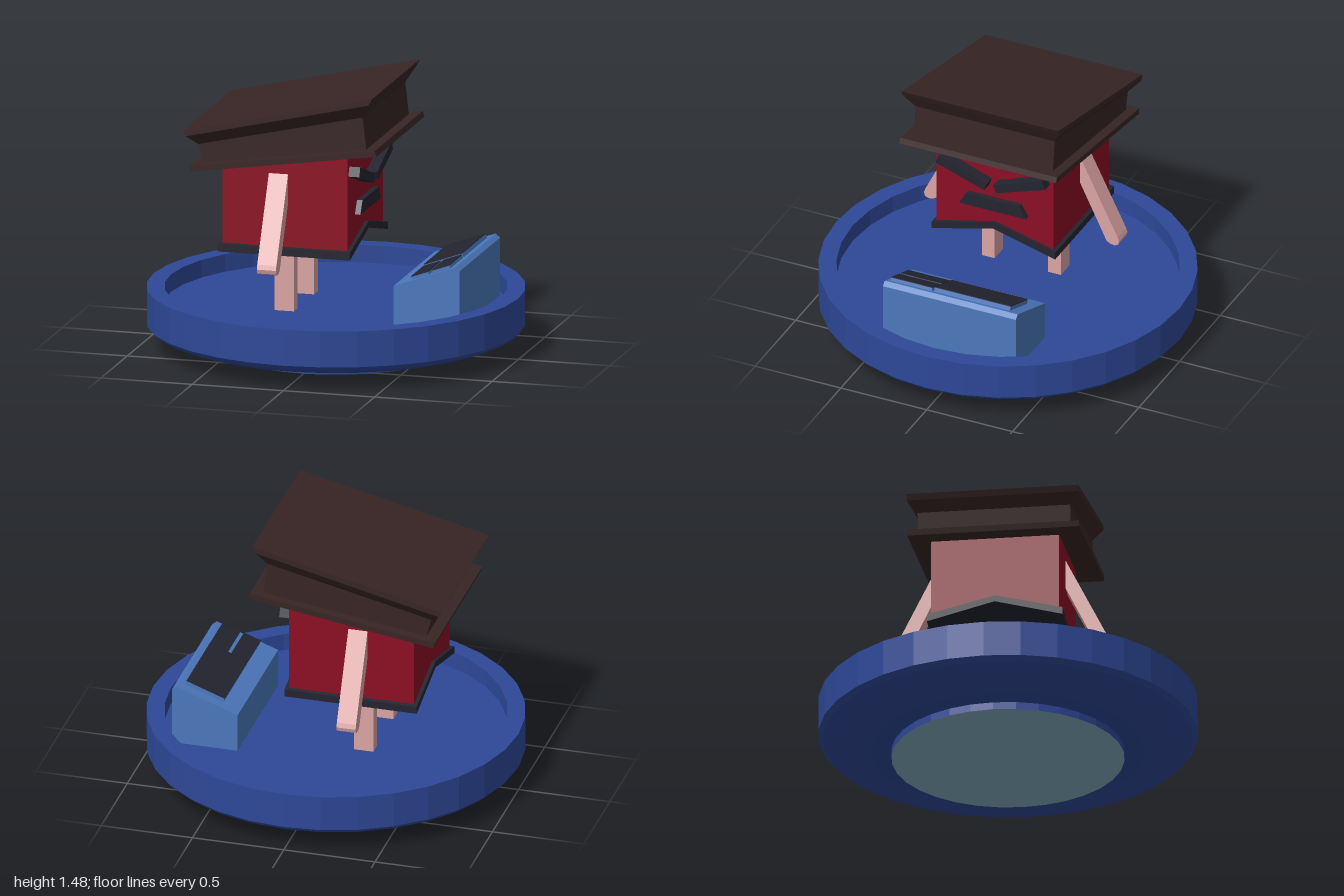
import * as THREE from 'three';

const mat = (name, color) => {
  const m = new THREE.MeshStandardMaterial({ color });
  m.name = name;
  return m;
};

export function createModel() {
  const blue = mat('deep blue', 0x2e4898);
  const lightBlue = mat('light blue', 0x4c78bc);
  const red = mat('dark red', 0x8c0e24);
  const brown = mat('dark brown', 0x382525);
  const black = mat('blue black', 0x23242f);
  const skin = mat('pink skin', 0xdca5a5);
  const grey = mat('pale grey blue', 0x84aec4);

  const model = new THREE.Group();
  const add = (name, geometry, material, parent = model) => {
    const mesh = new THREE.Mesh(geometry, material);
    mesh.name = name;
    parent.add(mesh);
    return mesh;
  };
  const box = (x0, x1, y0, y1, z0, z1) =>
    new THREE.BoxGeometry(x1 - x0, y1 - y0, z1 - z0)
      .translate((x0 + x1) / 2, (y0 + y1) / 2, (z0 + z1) / 2);
  const toShape = (pts) => new THREE.Shape(pts.map(([a, b]) => new THREE.Vector2(a, b)));
  // Outline in (z, y), swept along x
  const extrudeX = (pts, x0, x1) =>
    new THREE.ExtrudeGeometry(toShape(pts.map(([z, y]) => [-z, y])), { depth: x1 - x0, bevelEnabled: false })
      .rotateY(Math.PI / 2).translate(x0, 0, 0);

  // Round base with a sunken floor
  const floorY = 0.235;
  const profile = [
    [0.615, 0], [0.615, 0.04], [0.72, 0.046], [0.9, 0.08], [0.975, 0.11],
    [1, 0.135], [1, 0.33], [0.905, 0.33], [0.905, floorY], [0, floorY],
  ].map(([r, y]) => new THREE.Vector2(r, y));
  const base = new THREE.LatheGeometry(profile, 32).toNonIndexed();
  base.computeVertexNormals();
  add('roundBase', base, blue);
  add('baseUnderside', new THREE.CircleGeometry(0.615, 32).rotateX(Math.PI / 2), grey);

  // House body: notched underside, top sloping up towards +x
  const body = extrudeX(
    [[-0.34, 0.59], [0, 0.68], [0.34, 0.59], [0.34, 1.1], [-0.34, 1.1]], -0.525, 0.16);
  const p = body.attributes.position;
  for (let i = 0; i < p.count; i++) {
    if (p.getY(i) > 1) p.setY(i, 1.05 + (p.getX(i) + 0.525) * 0.148);
  }
  body.computeVertexNormals();
  add('houseBody', body, red);
  add('bottomTrim', extrudeX(
    [[-0.36, 0.565], [0, 0.66], [0.36, 0.565], [0.36, 0.605], [0, 0.695], [-0.36, 0.605]],
    -0.545, 0.18), black);

  // Roof: tilted rectangular rings [left x, left y, right x, right y, half depth]
  const rings = [
    [-0.66, 1.015, 0.355, 1.165, 0.457],
    [-0.67, 1.045, 0.345, 1.195, 0.457],
    [-0.61, 1.055, 0.285, 1.187, 0.405],
    [-0.635, 1.155, 0.265, 1.36, 0.405],
    [-0.69, 1.205, 0.312, 1.44, 0.457],
    [-0.705, 1.235, 0.33, 1.475, 0.457],
  ].map(([xl, yl, xr, yr, h]) => [
    [xl, yl, 0.008 + h], [xr, yr, 0.008 + h], [xr, yr, 0.008 - h], [xl, yl, 0.008 - h],
  ]);
  const verts = [];
  const quad = (a, b, c, d) => verts.push(...a, ...b, ...c, ...a, ...c, ...d);
  for (let r = 0; r < rings.length - 1; r++) {
    for (let i = 0; i < 4; i++) {
      const j = (i + 1) % 4;
      quad(rings[r][i], rings[r][j], rings[r + 1][j], rings[r + 1][i]);
    }
  }
  quad(...rings[rings.length - 1]);
  quad(...[...rings[0]].reverse());
  const roof = new THREE.BufferGeometry();
  roof.setAttribute('position', new THREE.Float32BufferAttribute(verts, 3));
  roof.computeVertexNormals();
  add('roof', roof, brown);

  // Arms, legs and eyebrows, mirrored across z
  const arm = [
    [0.3, 0.93], [0.34, 1.005], [0.56, 0.56], [0.569, 0.535], [0.562, 0.513],
    [0.543, 0.505], [0.52, 0.507], [0.497, 0.52], [0.34, 0.845],
  ];
  const brow = [[0.32, 1.01], [0.3, 1.06], [0.018, 0.957], [0.035, 0.913]];
  for (const s of [1, -1]) {
    const side = s > 0 ? 'Front' : 'Back';
    const flip = (pts) => pts.map(([z, y]) => [z * s, y]);
    add('arm' + side, extrudeX(flip(arm), -0.27, -0.165), skin);
    add('leg' + side, box(-0.27, -0.165, floorY, 0.66, s * 0.193 - 0.037, s * 0.193 + 0.037), skin);
    add('eyebrow' + side, extrudeX(flip(brow), 0.15, 0.22), black);
  }
  add('mouth', extrudeX([[-0.195, 0.775], [0.195, 0.775], [0.155, 0.845], [-0.155, 0.845]], 0.15, 0.19), black);

  // Control desk with a sloping top
  add('desk', new THREE.ExtrudeGeometry(
    toShape([[0.42, floorY], [0.78, floorY], [0.78, 0.547], [0.755, 0.567], [0.42, 0.445]]),
    { depth: 0.775, bevelEnabled: false }).translate(0, 0, -0.415), lightBlue);

  // Raised screens on the slope: blue blocks with dark faces
  const screens = new THREE.Group();
  screens.name = 'deskScreens';
  screens.position.set(0.42, 0.445, 0);
  screens.rotation.z = Math.atan2(0.122, 0.335);
  model.add(screens);
  const stretch = 1 / Math.cos(screens.rotation.z);
  for (const [x0, x1, z0, z1, h] of [
    [0.515, 0.725, -0.355, 0.087, 0.022],
    [0.515, 0.608, 0.1, 0.34, 0.016],
    [0.627, 0.725, 0.1, 0.34, 0.016],
  ]) {
    const a = (x0 - 0.42) * stretch, b = (x1 - 0.42) * stretch;
    add('screenBlock', box(a, b, -0.005, h, z0, z1), lightBlue, screens);
    add('screenFace', box(a, b, h, h + 0.004, z0, z1), black, screens);
  }
  return model;
}
